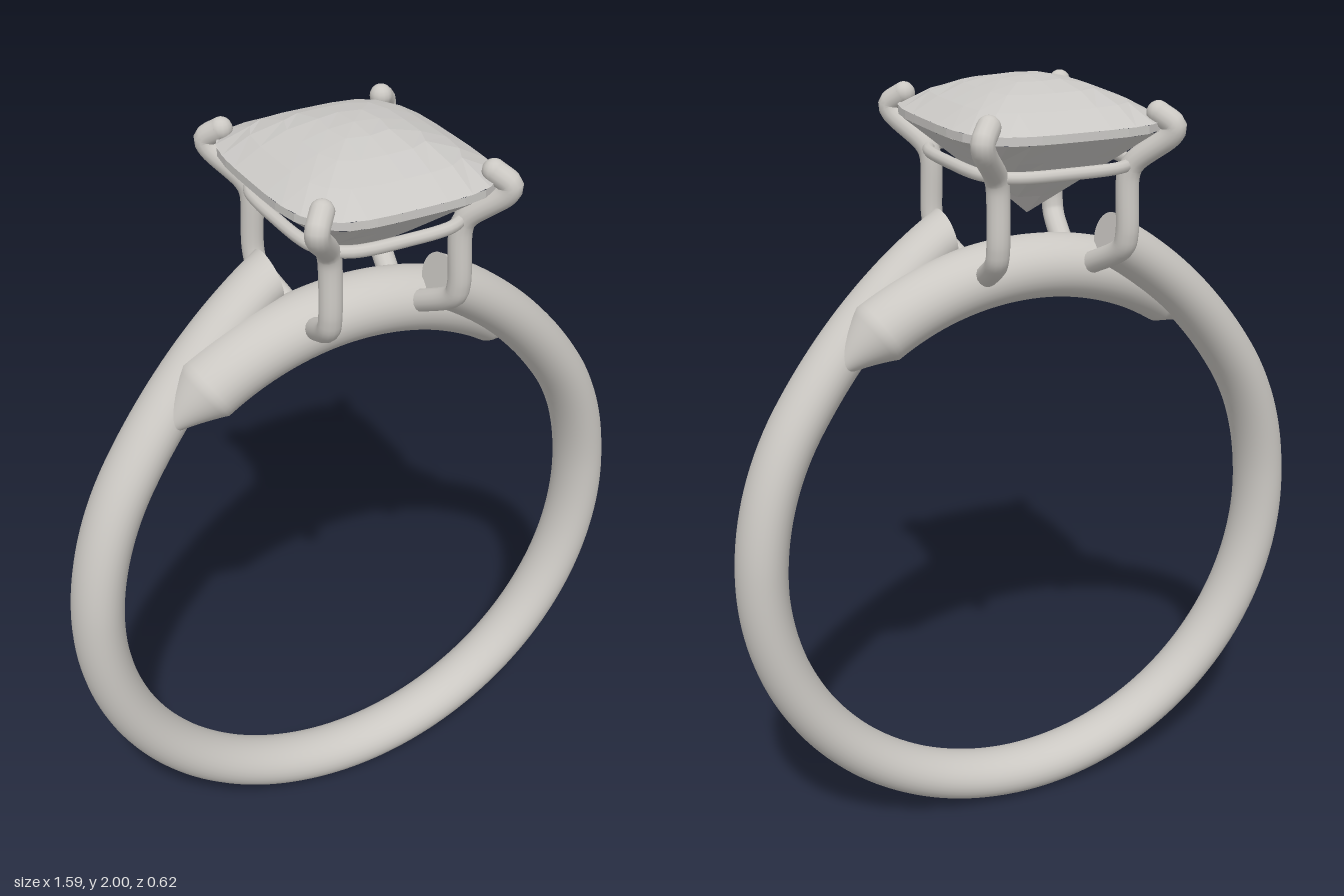
import * as THREE from 'three';

const RAD = Math.PI / 180;
const CENTRE_Y = 0.795;

// Sweep an oval section around the finger; section(deg) gives radius r, z offset, half sizes a (radial) and b (z).
// deg = 0 is the bottom of the ring, 90 is +x, 180 is the top.
function sweep(from, to, steps, section) {
  const sides = 32, pos = [], idx = [];
  const addRow = (deg, k = 1) => {
    const { r, z, a, b } = section(deg), s = Math.sin(deg * RAD), c = Math.cos(deg * RAD);
    for (let j = 0; j < sides; j++) {
      const v = (j / sides) * Math.PI * 2, rr = r + a * k * Math.cos(v);
      pos.push(rr * s, CENTRE_Y - rr * c, z + b * k * Math.sin(v));
    }
    return pos.length / 3 - sides;
  };
  const join = (p, q) => {
    for (let j = 0; j < sides; j++) {
      const n = (j + 1) % sides;
      idx.push(p + j, q + j, p + n, q + j, q + n, p + n);
    }
  };
  join(addRow(from, 0), addRow(from)); // start cap
  let last = addRow(from);
  for (let i = 1; i <= steps; i++) {
    const row = addRow(from + ((to - from) * i) / steps);
    join(last, row);
    last = row;
  }
  join(addRow(to), addRow(to, 0)); // end cap
  const g = new THREE.BufferGeometry();
  g.setAttribute('position', new THREE.Float32BufferAttribute(pos, 3));
  g.setIndex(idx);
  g.computeVertexNormals();
  return g;
}

// Push a point onto a cushion outline: s is the fraction of the full outline.
function cushion(x, z, s, halfX, halfZ) {
  const n = Math.pow(x ** 4 + z ** 4, 0.25) || 1;
  return [(x / n) * s * halfX, (z / n) * s * halfZ];
}

const STONE_X = 0.265, STONE_Z = 0.307;

// A square grid bent to the cushion outline, with its height set by the distance from the middle
function cushionSheet(cells, up, height) {
  const g = new THREE.PlaneGeometry(2, 2, cells, cells);
  g.rotateX(up ? -Math.PI / 2 : Math.PI / 2);
  const p = g.attributes.position;
  for (let i = 0; i < p.count; i++) {
    const s = Math.max(Math.abs(p.getX(i)), Math.abs(p.getZ(i)));
    const [x, z] = cushion(p.getX(i), p.getZ(i), s, STONE_X, STONE_Z);
    p.setXYZ(i, x, height(s), z);
  }
  g.computeVertexNormals();
  return g;
}

export function createModel() {
  const metal = new THREE.MeshStandardMaterial({ color: 0xcbc8c3 });
  metal.name = 'pale metal';
  const gem = new THREE.MeshStandardMaterial({ color: 0xcac8c5, flatShading: true });
  gem.name = 'pale stone';

  const ring = new THREE.Group();
  ring.name = 'ring';
  const add = (name, geometry, material, parent = ring) => {
    const m = new THREE.Mesh(geometry, material);
    m.name = name;
    parent.add(m);
    return m;
  };

  // Band: its two ends spiral outward and pass each other in front and behind
  add('band', sweep(-168, 168, 160, (deg) => {
    const d = Math.abs(deg);
    const out = Math.max(0, (d - 125) / 43), side = Math.max(0, (d - 95) / 73);
    return { r: 0.73 + 0.1 * out ** 2, z: Math.sign(deg) * 0.11 * side ** 1.5, a: 0.065, b: 0.077 };
  }), metal);

  // Bridge under the stone, tapering into the band at both ends
  add('bridge', sweep(137, 223, 86, (deg) => {
    const k = Math.min(1, 0.2 + (0.8 * (43 - Math.abs(deg - 180))) / 10);
    return { r: 0.735, z: 0, a: 0.08 * k, b: 0.09 * k };
  }), metal);

  // Four claws
  const claws = new THREE.Group();
  claws.name = 'claws';
  ring.add(claws);
  const path = [
    [0.215, 1.934, 0.253], [0.243, 1.905, 0.283], [0.238, 1.885, 0.277], [0.18, 1.815, 0.21],
    [0.17, 1.785, 0.2], [0.17, 1.64, 0.2], [0.168, 1.605, 0.187], [0.14, 1.535, 0.06],
  ];
  for (const sx of [1, -1]) for (const sz of [1, -1]) {
    const pts = path.map(([x, y, z]) => new THREE.Vector3(x * sx, y, z * sz));
    const curve = new THREE.CatmullRomCurve3(pts, false, 'centripetal');
    add('claw', new THREE.TubeGeometry(curve, 64, 0.028, 14), metal, claws);
    for (const end of [pts[0], pts[pts.length - 1]]) {
      add('clawTip', new THREE.SphereGeometry(0.028, 14, 10), metal, claws).position.copy(end);
    }
  }

  // Thin rail joining the claws under the stone
  const railPoints = [];
  for (let i = 0; i < 32; i++) {
    const t = (i / 32) * Math.PI * 2;
    const [x, z] = cushion(Math.cos(t), Math.sin(t), 1, 0.202, 0.238);
    railPoints.push(new THREE.Vector3(x, 1.808, z));
  }
  add('rail', new THREE.TubeGeometry(new THREE.CatmullRomCurve3(railPoints, true), 96, 0.015, 10, true), metal);

  // Cushion-cut stone: domed crown, narrow girdle and pointed pavilion
  const stone = new THREE.Group();
  stone.name = 'stone';
  ring.add(stone);
  add('crown', cushionSheet(8, true, (s) => 2 - 0.085 * s * s), gem, stone);
  add('pavilion', cushionSheet(8, false, (s) => 1.667 + 0.228 * s), gem, stone);
  const girdle = new THREE.CylinderGeometry(1, 1, 0.02, 32, 1, true);
  const gp = girdle.attributes.position;
  for (let i = 0; i < gp.count; i++) {
    const [x, z] = cushion(gp.getX(i), gp.getZ(i), 1, STONE_X, STONE_Z);
    gp.setXYZ(i, x, gp.getY(i) + 1.905, z);
  }
  girdle.computeVertexNormals();
  add('girdle', girdle, gem, stone);

  return ring;
}
